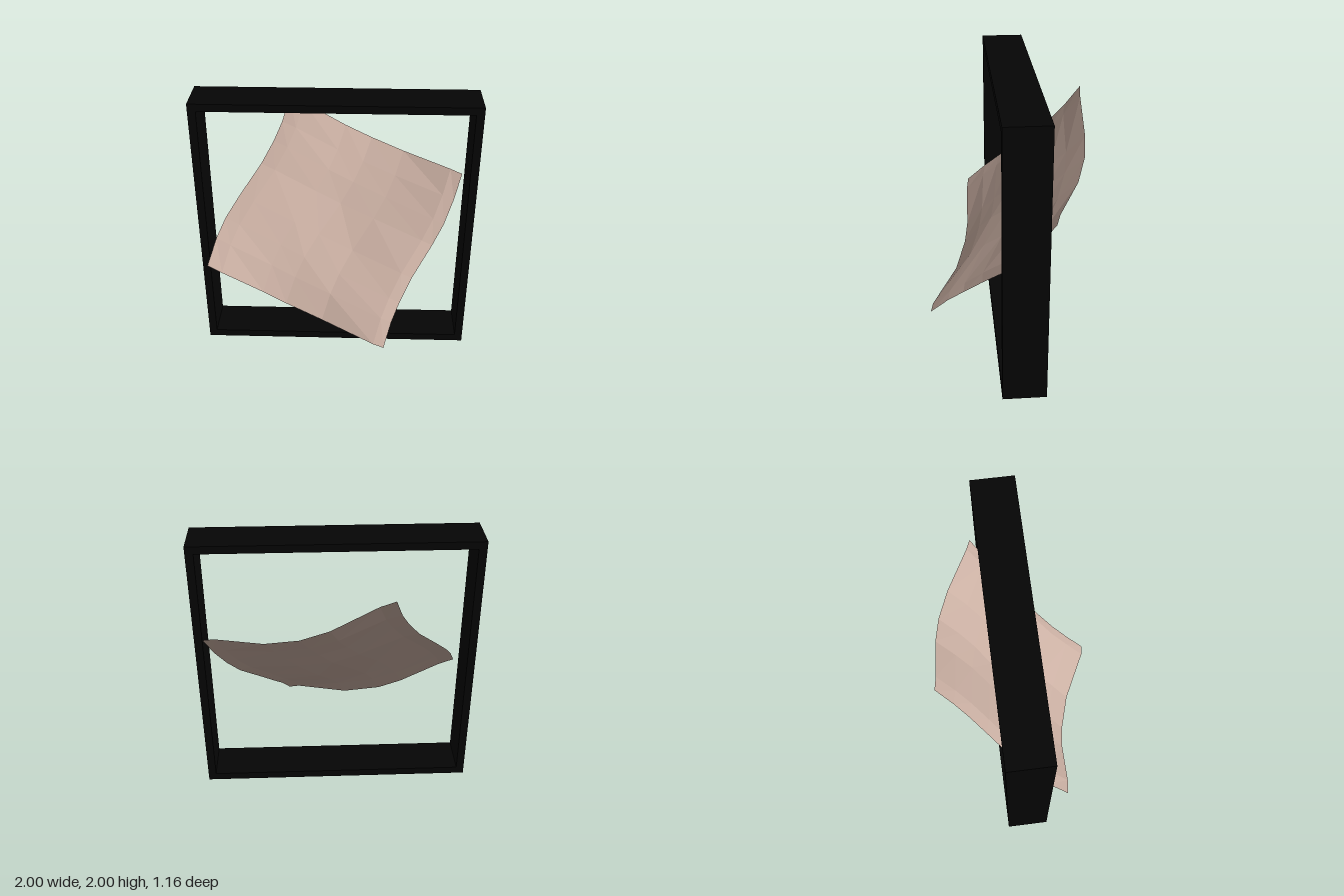
import * as THREE from 'three';

const vec = ([x, y, z]) => new THREE.Vector3(x, y, z);

// Border points of the sheet, all starting from its top or left corner
const upperEdge = [[-0.365, 1.775, -0.585], [-0.26, 1.73, -0.572], [0.06, 1.55, -0.562], [0.26, 1.465, -0.53],
  [0.5, 1.395, -0.45], [0.85, 1.335, -0.28], [0.935, 1.31, -0.25]].map(vec);
const lowerEdge = [[-0.935, 0.78, 0.245], [-0.83, 0.73, 0.262], [-0.53, 0.57, 0.272], [-0.36, 0.49, 0.3],
  [-0.09, 0.405, 0.38], [0.29, 0.337, 0.565], [0.365, 0.318, 0.58]].map(vec);
const leftEdge = [[-0.365, 1.775, -0.585], [-0.42, 1.61, -0.48], [-0.48, 1.49, -0.395], [-0.57, 1.35, -0.29],
  [-0.72, 1.17, -0.13], [-0.82, 1.04, -0.01], [-0.88, 0.93, 0.1], [-0.935, 0.78, 0.245]].map(vec);
const rightEdge = [[0.935, 1.31, -0.25], [0.875, 1.14, -0.15], [0.805, 0.99, -0.05], [0.72, 0.86, 0.04],
  [0.57, 0.68, 0.21], [0.48, 0.55, 0.34], [0.42, 0.45, 0.45], [0.365, 0.318, 0.58]].map(vec);
const us = [0, 0.07, 0.32, 0.46, 0.66, 0.94, 1];
const vs = [0, 0.165, 0.3, 0.435, 0.62, 0.755, 0.86, 1];

// Sagging sheet: blends the four edges, then lifts the middle around a diagonal fold
function sheetGeometry() {
  const normal = new THREE.Vector3(0.025, 0.63, 0.777).normalize();
  const positions = [], index = [];
  const cols = us.length, rows = vs.length;
  vs.forEach((v, j) => us.forEach((u, i) => {
    const p = upperEdge[i].clone().lerp(lowerEdge[i], v)
      .add(leftEdge[j].clone().lerp(rightEdge[j], u))
      .sub(upperEdge[0].clone().lerp(upperEdge[cols - 1], u)
        .lerp(lowerEdge[0].clone().lerp(lowerEdge[cols - 1], u), v));
    const middle = 16 * u * (1 - u) * v * (1 - v);
    const fold = 0.022 * Math.exp(-(((u - v - 0.08) / 0.2) ** 2));
    const crease = 0.006 * Math.sin(5 * i + 2.3 * j);
    p.addScaledVector(normal, middle * (0.07 - fold + crease));
    positions.push(p.x, p.y, p.z);
  }));
  for (let j = 0; j < rows - 1; j++) {
    for (let i = 0; i < cols - 1; i++) {
      const a = j * cols + i, b = a + 1, c = a + cols, d = c + 1;
      index.push(a, c, d, a, d, b);
    }
  }
  const geometry = new THREE.BufferGeometry();
  geometry.setAttribute('position', new THREE.Float32BufferAttribute(positions, 3));
  geometry.setIndex(index);
  geometry.computeVertexNormals();
  return geometry;
}

// Square frame with a deep rim
function frameGeometry() {
  const square = (Type, x, y0, y1) => new Type([
    new THREE.Vector2(-x, y0), new THREE.Vector2(x, y0), new THREE.Vector2(x, y1), new THREE.Vector2(-x, y1)]);
  const shape = square(THREE.Shape, 1, 0, 2);
  shape.holes.push(square(THREE.Path, 0.943, 0.057, 1.945));
  return new THREE.ExtrudeGeometry(shape, { depth: 0.308, bevelEnabled: false }).translate(0, 0, -0.206);
}

export function createModel() {
  const group = new THREE.Group();
  const frame = new THREE.Mesh(frameGeometry(), new THREE.MeshStandardMaterial({ color: 0x050505 }));
  frame.name = 'frame';
  const sheet = new THREE.Mesh(sheetGeometry(), new THREE.MeshStandardMaterial({
    color: 0xcdb2a5, flatShading: true, side: THREE.DoubleSide }));
  sheet.name = 'saggingSheet';
  group.add(frame, sheet);
  return group;
}
